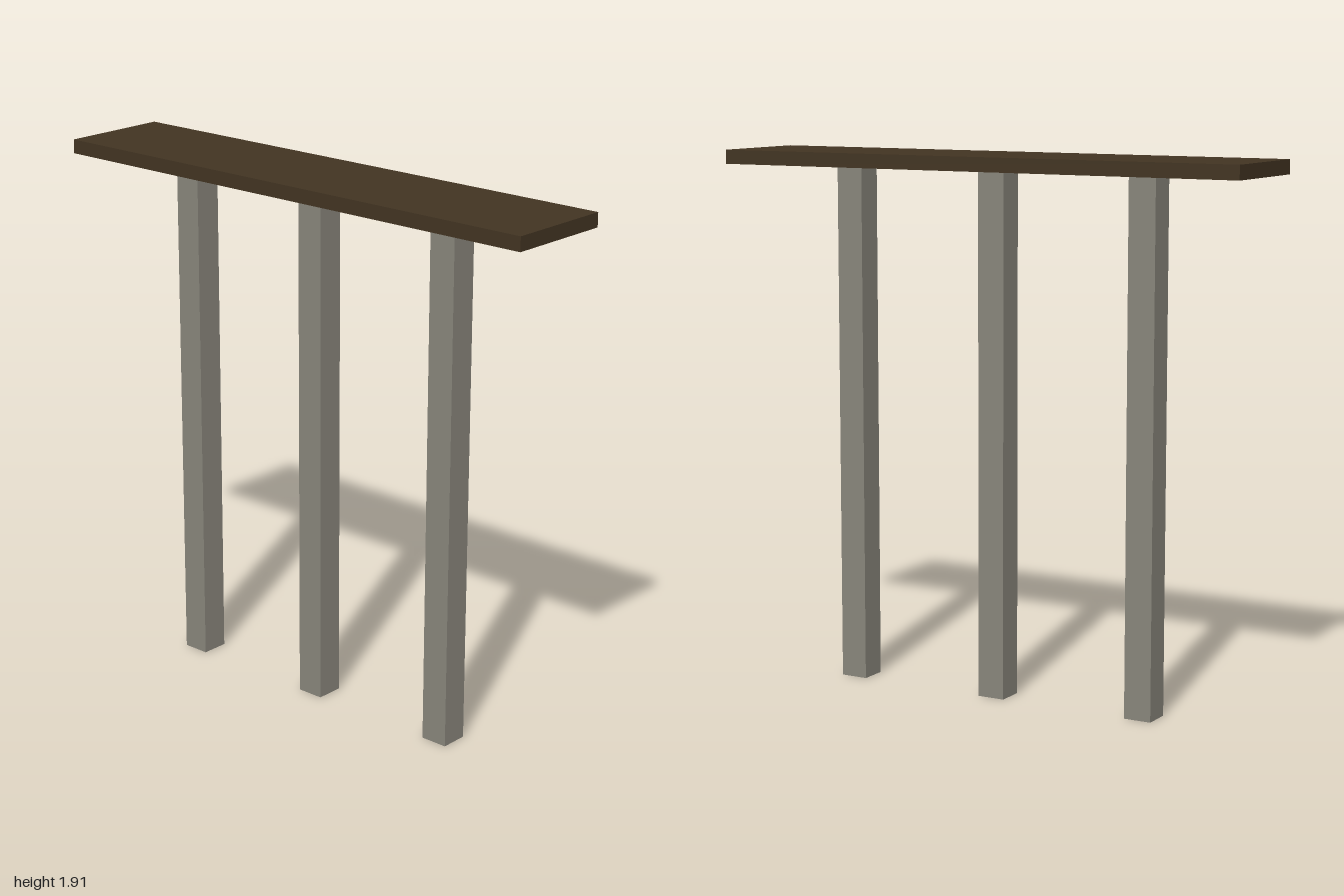
import * as THREE from 'three';

export function createModel() {
  const model = new THREE.Group();
  const darkWood = new THREE.MeshStandardMaterial({ color: 0x423422 });
  darkWood.name = 'dark wood';
  const greyStone = new THREE.MeshStandardMaterial({ color: 0x88857b });
  greyStone.name = 'warm grey';

  const height = 1.91, thickness = 0.05, postHeight = height - thickness;

  function addBox(name, w, h, d, y, z, material) {
    const mesh = new THREE.Mesh(new THREE.BoxGeometry(w, h, d), material);
    mesh.name = name;
    mesh.position.set(0, y, z);
    model.add(mesh);
  }

  // Long flat top
  addBox('plank', 0.4, thickness, 2, height - thickness / 2, 0, darkWood);

  // Row of square posts beneath it
  [['frontPost', 0.573], ['middlePost', -0.004], ['backPost', -0.582]].forEach(([name, z]) =>
    addBox(name, 0.1, postHeight, 0.1, postHeight / 2, z, greyStone));

  return model;
}
